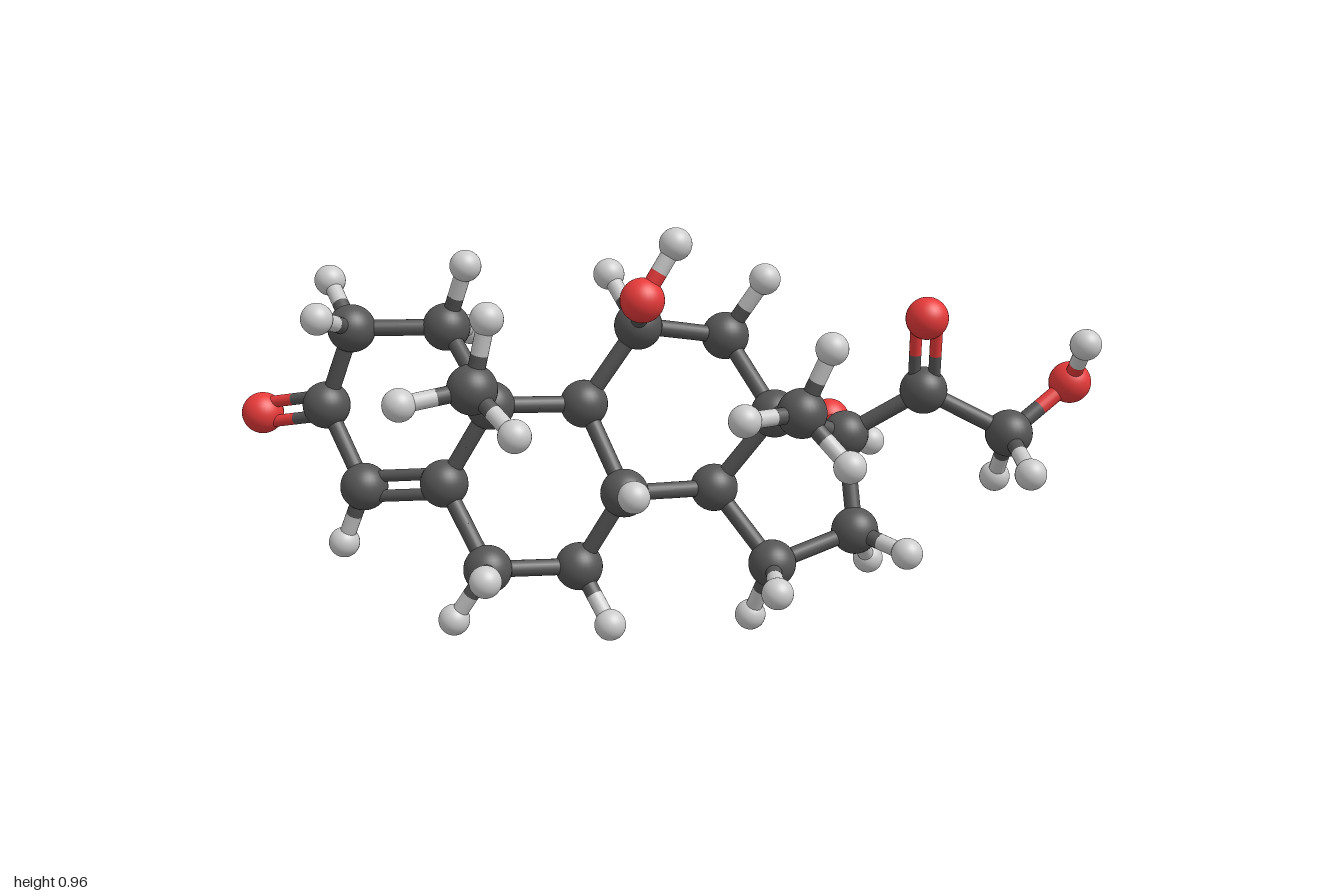
import * as THREE from 'three';

const styles = {
  carbon: { radius: 0.055, color: 0x555555 },
  oxygen: { radius: 0.049, color: 0xe83a3a },
  hydrogen: { radius: 0.036, color: 0xc4c4c4 },
};
for (const s of Object.values(styles)) s.material = new THREE.MeshStandardMaterial({ color: s.color });

// Skeleton: four fused rings (C1-C17), two methyls (C18, C19), side chain (C20, C21)
const carbons = {
  C1: [-0.505, 0.715, -0.10], C2: [-0.72, 0.715, -0.085], C3: [-0.79, 0.53, -0.125],
  C4: [-0.70, 0.35, -0.055], C5: [-0.51, 0.37, 0.01], C6: [-0.41, 0.19, 0.095],
  C7: [-0.205, 0.175, 0.025], C8: [-0.10, 0.355, 0.06], C9: [-0.19, 0.545, -0.03],
  C10: [-0.40, 0.555, 0.035], C11: [-0.065, 0.725, -0.03], C12: [0.14, 0.69, -0.105],
  C13: [0.245, 0.525, 0.005], C14: [0.11, 0.345, -0.03], C15: [0.24, 0.18, 0.04],
  C16: [0.44, 0.24, -0.022], C17: [0.425, 0.455, -0.10], C18: [0.28, 0.565, 0.22],
  C19: [-0.425, 0.628, 0.25], C20: [0.60, 0.565, -0.06], C21: [0.80, 0.465, -0.04],
};
const oxygens = {
  O3: [-0.955, 0.497, -0.212], O11: [-0.062, 0.805, 0.165], O17: [0.415, 0.455, -0.297],
  O20: [0.593, 0.74, -0.008], O21: [0.95, 0.578, -0.08],
};
// Hydrogens, listed under the atom they are bonded to
const hydrogens = {
  C1: [[-0.455, 0.86, -0.053], [-0.46, 0.69, -0.246]],
  C2: [[-0.78, 0.815, -0.185], [-0.775, 0.755, 0.06]],
  C4: [[-0.755, 0.21, -0.085]],
  C6: [[-0.49, 0.065, 0.07], [-0.405, 0.21, 0.265]],
  C7: [[-0.135, 0.057, 0.10], [-0.21, 0.14, -0.12]],
  C8: [[-0.083, 0.382, 0.218]],
  C9: [[-0.20, 0.51, -0.185]],
  C11: [[-0.13, 0.833, -0.12]],
  C12: [[0.227, 0.825, -0.068], [0.136, 0.67, -0.25]],
  C14: [[0.11, 0.322, -0.18]],
  C15: [[0.197, 0.038, -0.025], [0.235, 0.155, 0.2]],
  C16: [[0.493, 0.14, -0.142], [0.542, 0.214, 0.095]],
  C18: [[0.34, 0.708, 0.242], [0.376, 0.46, 0.29], [0.149, 0.565, 0.305]],
  C19: [[-0.39, 0.78, 0.268], [-0.333, 0.545, 0.345], [-0.574, 0.605, 0.302]],
  C21: [[0.815, 0.40, 0.112], [0.795, 0.34, -0.14]],
  O11: [[0.01, 0.925, 0.16]],
  O17: [[0.527, 0.387, -0.35]],
  O21: [[0.955, 0.68, 0.016]],
};
const singleBonds = [
  'C1-C2', 'C2-C3', 'C3-C4', 'C5-C6', 'C6-C7', 'C7-C8', 'C8-C9', 'C9-C10', 'C10-C1',
  'C5-C10', 'C9-C11', 'C11-C12', 'C12-C13', 'C13-C14', 'C14-C8', 'C14-C15', 'C15-C16',
  'C16-C17', 'C17-C13', 'C13-C18', 'C10-C19', 'C17-C20', 'C20-C21',
  'C11-O11', 'C17-O17', 'C21-O21',
];
// The third atom sets the plane in which the two rods lie
const doubleBonds = ['C4-C5-C3', 'C3-O3-C4', 'C20-O20-C21'];

const UP = new THREE.Vector3(0, 1, 0);
const sphere = new THREE.SphereGeometry(1, 32, 20);
const rod = new THREE.CylinderGeometry(1, 1, 1, 20);

export function createModel() {
  const model = new THREE.Group();
  model.name = 'ballAndStickMolecule';
  const atoms = {};

  const addAtom = (id, kind, position) => {
    const ball = new THREE.Mesh(sphere, styles[kind].material);
    ball.name = kind + 'Atom' + id;
    ball.position.set(...position);
    ball.scale.setScalar(styles[kind].radius);
    model.add(ball);
    atoms[id] = { kind, p: ball.position };
  };

  // Each rod is two halves, coloured like the nearer atom
  const addRod = (a, b, radius, offset = new THREE.Vector3()) => {
    const bond = new THREE.Group();
    bond.name = 'bond' + a + b;
    const A = atoms[a], B = atoms[b];
    const mid = A.p.clone().add(B.p).multiplyScalar(0.5);
    for (const end of [A, B]) {
      const along = mid.clone().sub(end.p);
      const half = new THREE.Mesh(rod, styles[end.kind].material);
      half.name = end.kind + 'HalfBond';
      half.position.copy(end.p).add(mid).multiplyScalar(0.5).add(offset);
      half.scale.set(radius, along.length(), radius);
      half.quaternion.setFromUnitVectors(UP, along.normalize());
      bond.add(half);
    }
    model.add(bond);
  };

  // Atoms
  for (const [id, p] of Object.entries(carbons)) addAtom(id, 'carbon', p);
  for (const [id, p] of Object.entries(oxygens)) addAtom(id, 'oxygen', p);

  // Hydrogens with their bonds
  for (const [parent, list] of Object.entries(hydrogens)) {
    list.forEach((p, i) => {
      const id = 'H' + parent + 'abc'[i];
      addAtom(id, 'hydrogen', p);
      addRod(parent, id, 0.019);
    });
  }

  // Single bonds
  for (const pair of singleBonds) addRod(...pair.split('-'), 0.019);

  // Double bonds: two thinner parallel rods
  for (const entry of doubleBonds) {
    const [a, b, side] = entry.split('-');
    const axis = atoms[b].p.clone().sub(atoms[a].p).normalize();
    const offset = atoms[side].p.clone().sub(atoms[a].p).projectOnPlane(axis).setLength(0.023);
    addRod(a, b, 0.014, offset);
    addRod(a, b, 0.014, offset.clone().negate());
  }
  return model;
}
